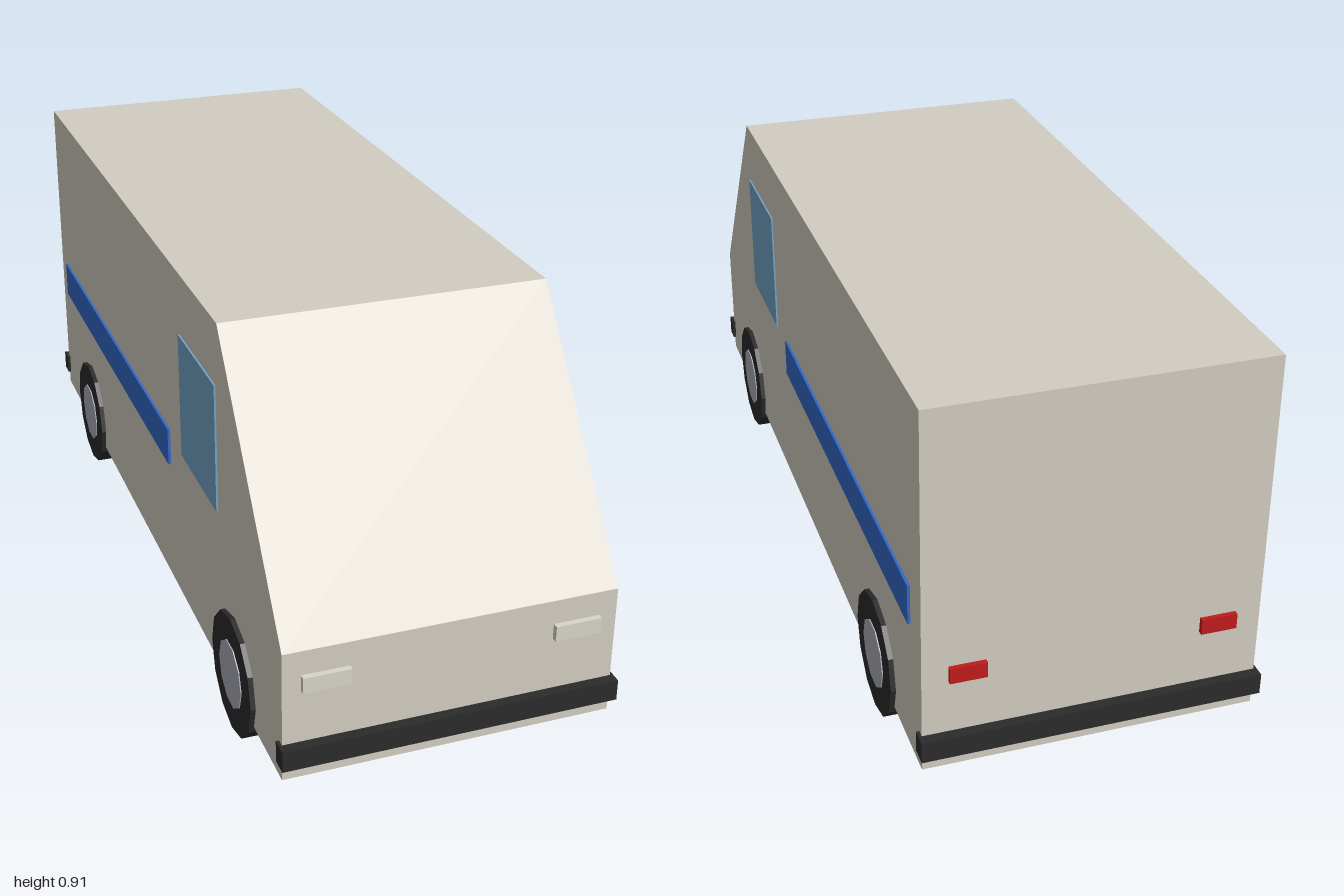
import * as THREE from 'three';

const mat = (name, color) => {
  const m = new THREE.MeshStandardMaterial({ color });
  m.name = name;
  return m;
};

export function createModel() {
  const van = new THREE.Group();
  van.name = 'van';
  const paint = mat('warm grey paint', 0xd2cdc1);
  const lens = mat('pale lens', 0xd8d4ca);
  const glass = mat('blue glass', 0x73a5c8);
  const blue = mat('blue stripe', 0x3468c8);
  const rubber = mat('black rubber', 0x2b2b2b);
  const metal = mat('hub metal', 0xaaacb5);
  const red = mat('red lens', 0xc01c1c);

  const add = (name, geometry, material, x = 0, y = 0, z = 0) => {
    const mesh = new THREE.Mesh(geometry, material);
    mesh.name = name;
    mesh.position.set(x, y, z);
    van.add(mesh);
    return mesh;
  };
  // Box given by its limits on each axis
  const box = (name, material, x0, x1, y0, y1, z0, z1) =>
    add(name, new THREE.BoxGeometry(x1 - x0, y1 - y0, z1 - z0), material,
      (x0 + x1) / 2, (y0 + y1) / 2, (z0 + z1) / 2);

  // Body: side profile extruded across the width
  const profile = new THREE.Shape([
    [-0.977, 0.085], [0.977, 0.085], [0.977, 0.382], [0.58, 0.908], [-0.977, 0.908],
  ].map(([z, y]) => new THREE.Vector2(-z, y)).reverse());
  const body = new THREE.ExtrudeGeometry(profile, { depth: 0.722, bevelEnabled: false });
  body.translate(0, 0, -0.361).rotateY(Math.PI / 2);
  add('body', body, paint);

  // Bumpers
  box('frontBumper', rubber, -0.368, 0.368, 0.122, 0.17, 0.96, 1);
  box('rearBumper', rubber, -0.368, 0.368, 0.122, 0.17, -1, -0.96);

  // Wheels lie along x
  const tyre = new THREE.CylinderGeometry(0.138, 0.138, 0.078, 12).rotateZ(Math.PI / 2);
  const hub = new THREE.CylinderGeometry(0.077, 0.077, 0.083, 10).rotateZ(Math.PI / 2);

  for (const s of [-1, 1]) {
    const side = s > 0 ? 'left' : 'right';
    const mirrored = (name, material, a, b, ...rest) =>
      box(side + name, material, Math.min(s * a, s * b), Math.max(s * a, s * b), ...rest);

    // Cab window and side stripe
    mirrored('Window', glass, 0.357, 0.365, 0.473, 0.766, 0.295, 0.565);
    mirrored('Stripe', blue, 0.358, 0.367, 0.393, 0.483, -0.905, 0.185);

    // Lights
    mirrored('Headlight', lens, 0.22, 0.322, 0.292, 0.327, 0.97, 0.99);
    mirrored('TailLight', red, 0.228, 0.306, 0.294, 0.329, -0.988, -0.97);

    for (const [end, z] of [['Front', 0.672], ['Rear', -0.65]]) {
      add(side + end + 'Tyre', tyre, rubber, s * 0.333, 0.138, z).material.flatShading = true;
      add(side + end + 'Hub', hub, metal, s * 0.333, 0.138, z).material.flatShading = true;
    }
  }
  return van;
}
